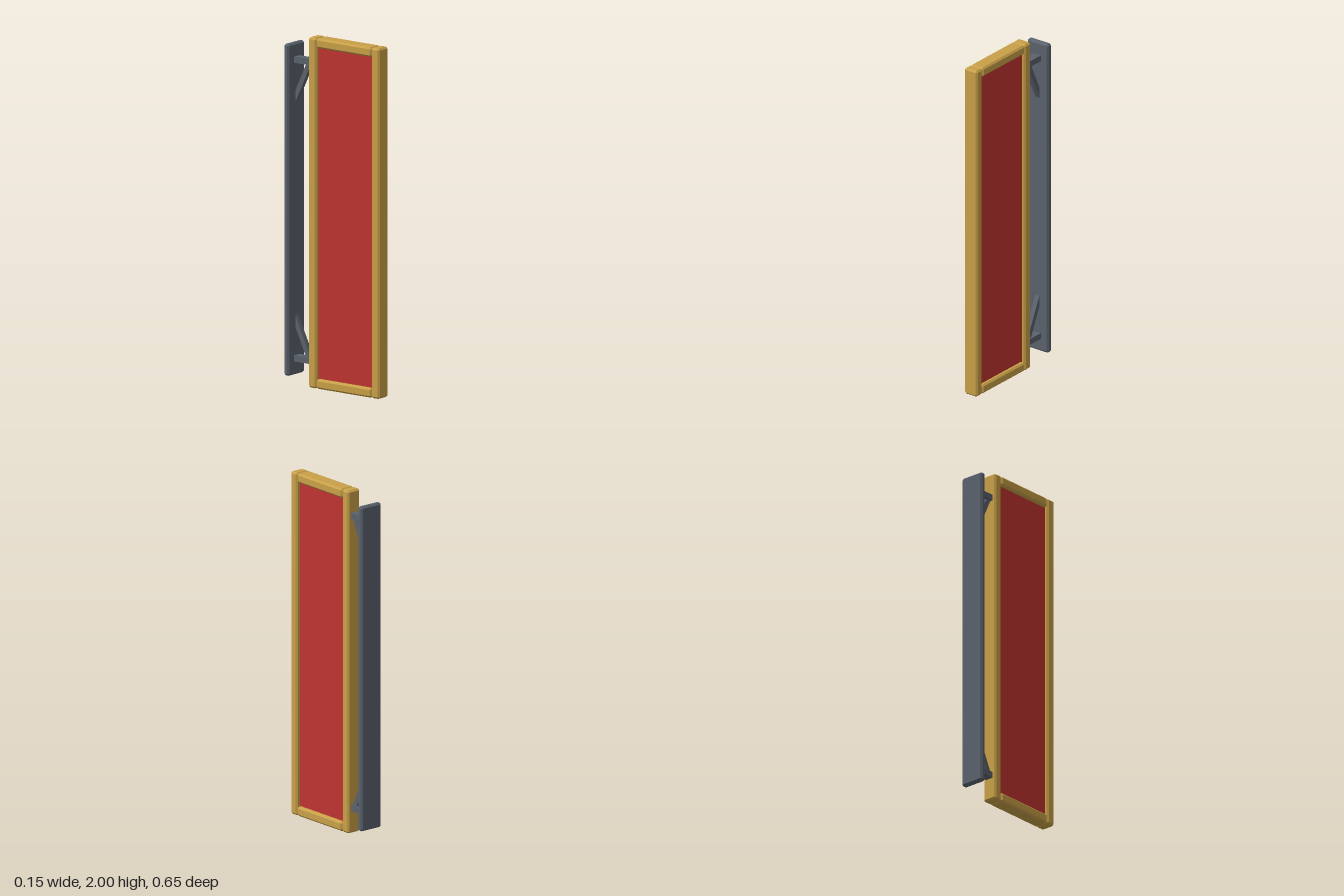
import * as THREE from 'three';
import { ConvexGeometry } from 'three/addons/geometries/ConvexGeometry.js';

const material = (color) => new THREE.MeshStandardMaterial({ color, flatShading: true });

// Box given by its extents, with every edge cut by a flat chamfer c
function chamferBox([x0, x1], [y0, y1], [z0, z1], c = 0.01) {
  const half = [(x1 - x0) / 2, (y1 - y0) / 2, (z1 - z0) / 2];
  const points = [];
  for (const sx of [-1, 1]) for (const sy of [-1, 1]) for (const sz of [-1, 1]) {
    for (let axis = 0; axis < 3; axis++) {
      const h = half.map((v, i) => (i === axis ? v : v - c));
      points.push(new THREE.Vector3(sx * h[0], sy * h[1], sz * h[2]));
    }
  }
  return new ConvexGeometry(points).translate((x0 + x1) / 2, (y0 + y1) / 2, (z0 + z1) / 2);
}

function box([x0, x1], [y0, y1], [z0, z1]) {
  return new THREE.BoxGeometry(x1 - x0, y1 - y0, z1 - z0)
    .translate((x0 + x1) / 2, (y0 + y1) / 2, (z0 + z1) / 2);
}

export function createModel() {
  const group = new THREE.Group();
  const gold = material(0xc8a048);
  const red = material(0xbe3430);
  const steel = material(0x5a626c);

  const add = (name, geometry, mat) => {
    const mesh = new THREE.Mesh(geometry, mat);
    mesh.name = name;
    group.add(mesh);
  };

  // Sign frame: two full-height posts with rails between them
  const frameX = [-0.044, 0.044];
  add('frontPost', chamferBox(frameX, [0, 2], [0.268, 0.324]), gold);
  add('backPost', chamferBox(frameX, [0, 2], [-0.177, -0.121]), gold);
  add('bottomRail', chamferBox(frameX, [0, 0.055], [-0.121, 0.268]), gold);
  add('topRail', chamferBox(frameX, [1.945, 2], [-0.121, 0.268]), gold);

  // Recessed sign panel
  add('panel', box([-0.022, 0.022], [0.045, 1.955], [-0.127, 0.274]), red);

  // Wall mounting plate
  add('wallPlate', chamferBox([-0.074, 0.074], [0.053, 1.947], [-0.327, -0.291]), steel);

  // Bracket arms and slanted braces, mirrored about mid height
  for (const [side, s] of [['top', 1], ['bottom', -1]]) {
    const y = (v) => 1 + s * v;
    const ends = [y(0.835), y(0.87)].sort((a, b) => a - b);
    add(side + 'Arm', box([-0.024, 0.024], ends, [-0.3, -0.17]), steel);

    const outline = [[-0.179, 0.843], [-0.211, 0.843], [-0.299, 0.657], [-0.299, 0.59]];
    const shape = new THREE.Shape(outline.map(([z, v]) => new THREE.Vector2(z, y(v))));
    const brace = new THREE.ExtrudeGeometry(shape, { depth: 0.028, bevelEnabled: false })
      .translate(0, 0, -0.014)
      .rotateY(-Math.PI / 2);
    add(side + 'Brace', brace, steel);
  }

  return group;
}
